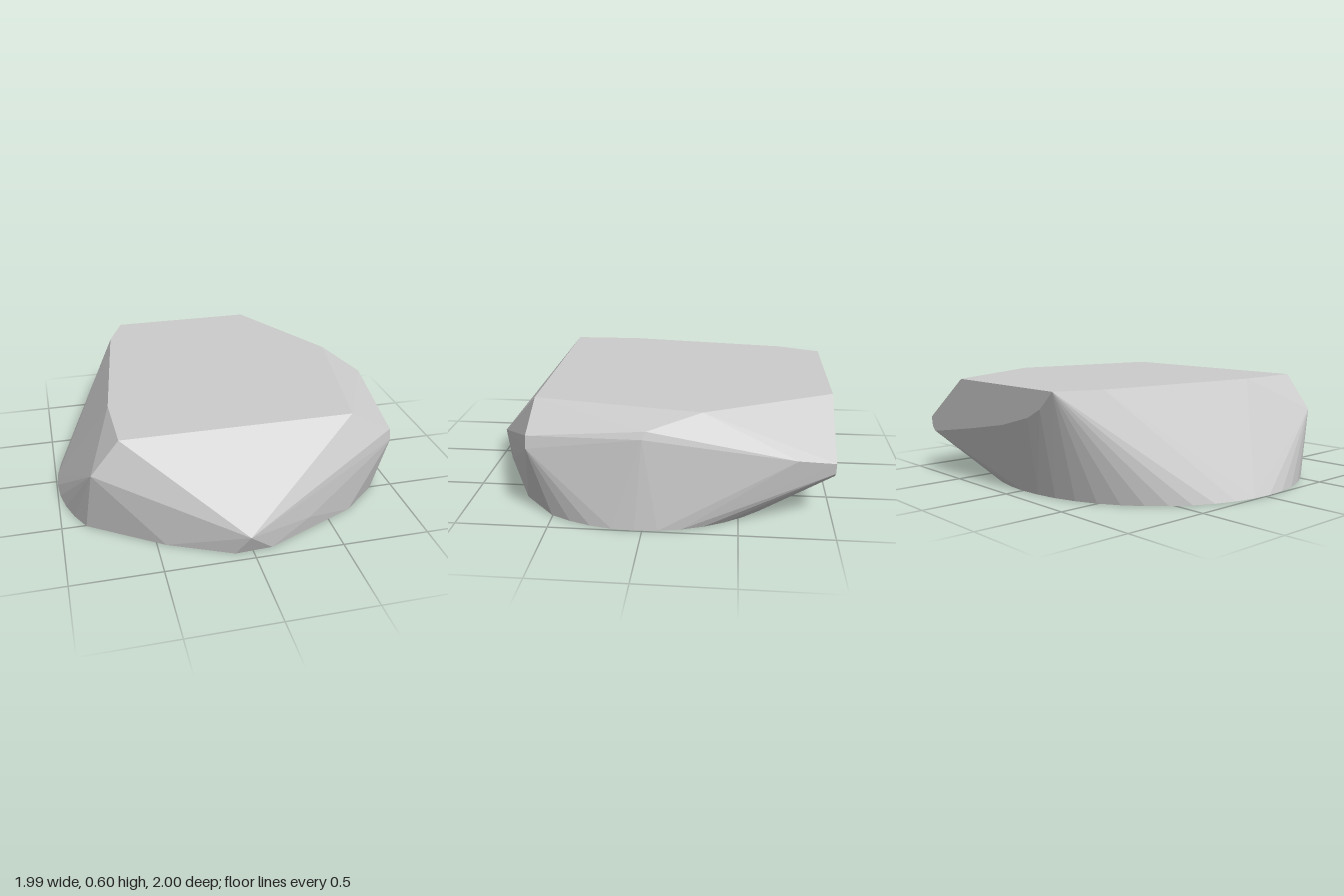
import * as THREE from 'three';
import { ConvexGeometry } from 'three/addons/geometries/ConvexGeometry.js';

const TOP = 0.6;

// Flat base: an ellipse with a blunt, faceted front
function basePoints() {
  const points = [];
  const steps = 48;
  for (let i = 0; i < steps; i++) {
    const a = (i / steps) * Math.PI * 2;
    const z = 0.04 + 0.93 * Math.sin(a);
    if (z < 0.58) points.push([0.995 * Math.cos(a), 0, z]);
  }
  points.push([-0.45, 0, 0.78], [-0.1, 0, 0.94], [0.11, 0, 0.93], [0.65, 0, 0.69]);
  return points;
}

// Flat top outline as x, z pairs
const topPoints = [
  [-0.44, -1], [0.44, -1], [0.81, -0.3], [0.65, 0.62],
  [-0.66, 0.62], [-0.67, 0.22], [-0.54, -0.75],
].map(([x, z]) => [x, TOP, z]);

// Front point and the shoulders beside it
const frontPoints = [
  [-0.03, 0.135, 1], [0.35, 0.1, 0.845],
  [-0.82, 0.4, 0.62], [0.9, 0.4, 0.62], [0.89, 0.47, 0.62],
];

// Bevelled +x side
const sidePoints = [
  [0.955, 0.54, -0.02], [0.97, 0.5, 0], [0.865, 0.37, -0.8],
];

// Curved lower edge of the upright back face
const backPoints = [
  [0.81, 0.34, -1], [0.8, 0.28, -1], [0.77, 0.255, -1], [0.36, 0.32, -1],
  [0.02, 0.38, -1], [-0.22, 0.445, -1], [-0.33, 0.5, -1],
];

export function createModel() {
  const group = new THREE.Group();
  group.name = 'rock';

  const points = [...basePoints(), ...topPoints, ...frontPoints, ...sidePoints, ...backPoints]
    .map((p) => new THREE.Vector3(...p));
  const stone = new THREE.Mesh(
    new ConvexGeometry(points),
    new THREE.MeshStandardMaterial({ color: 0xcccccc, flatShading: true }),
  );
  stone.name = 'stone';
  group.add(stone);
  return group;
}
